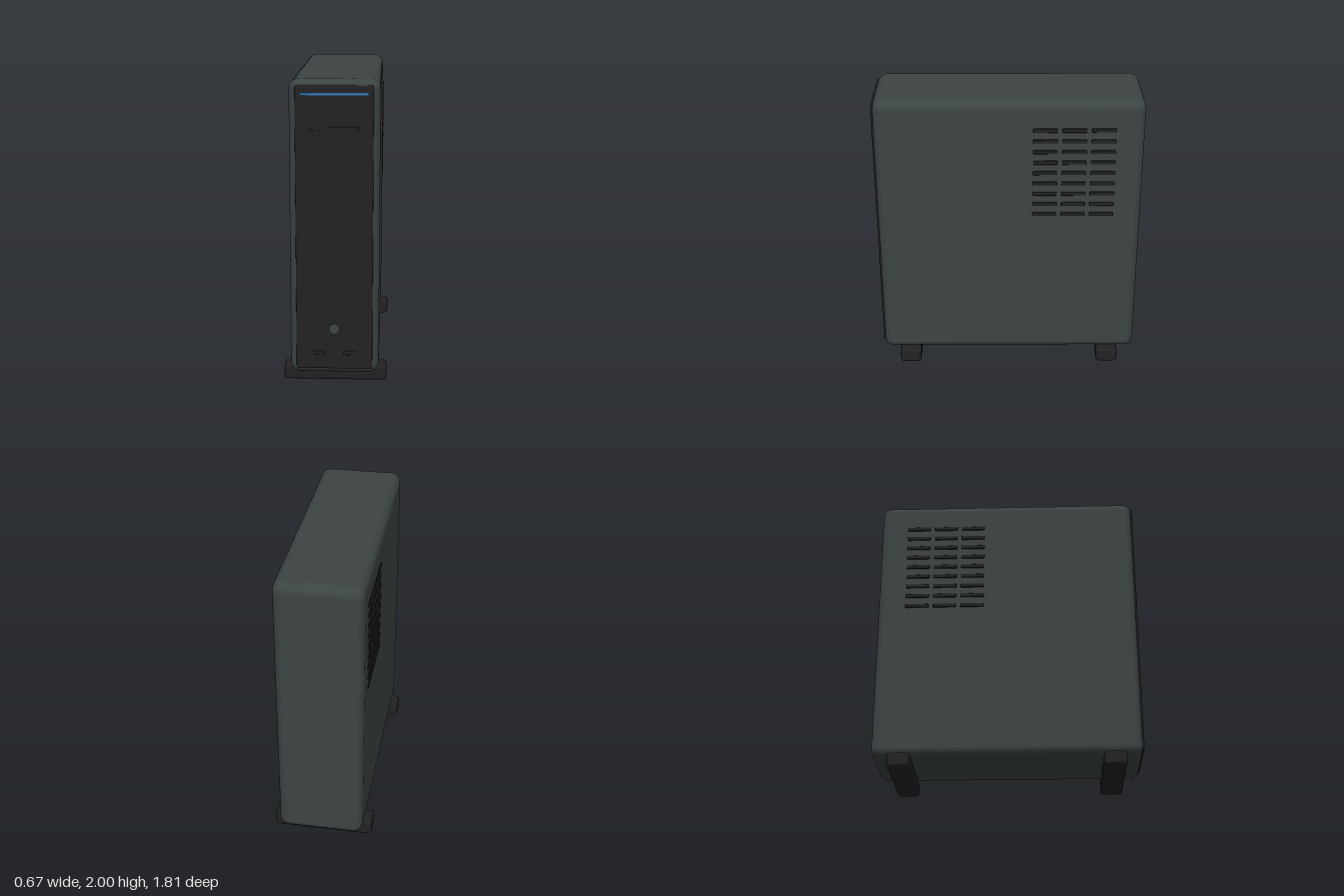
import * as THREE from 'three';
import { RoundedBoxGeometry } from 'three/addons/geometries/RoundedBoxGeometry.js';

const material = (name, color) => {
  const m = new THREE.MeshStandardMaterial({ color });
  m.name = name;
  return m;
};

export function createModel() {
  const model = new THREE.Group();
  model.name = 'computerTower';

  const shell = material('dark slate shell', 0x3c4443);
  const black = material('black plastic', 0x222222);
  const blue = material('blue light', 0x2f72ab);

  const add = (parent, name, geometry, mat, x, y, z) => {
    const mesh = new THREE.Mesh(geometry, mat);
    mesh.name = name;
    mesh.position.set(x, y, z);
    parent.add(mesh);
    return mesh;
  };
  const rounded = (w, h, d, r, segments = 1) => new RoundedBoxGeometry(w, h, d, segments, r);

  // Rounded case
  add(model, 'case', rounded(0.572, 1.915, 1.79, 0.065, 5), shell, 0, 1.0425, -0.01);

  // Front panel with bevelled edges
  add(model, 'frontPanel', rounded(0.49, 1.838, 0.04, 0.012, 2), black, 0, 1.045, 0.875);

  // Details on the front panel
  add(model, 'lightStrip', new THREE.BoxGeometry(0.42, 0.015, 0.008), blue, 0, 1.911, 0.895);
  add(model, 'discSlot', rounded(0.306, 0.022, 0.012, 0.003), black, 0, 1.697, 0.894);
  const button = add(model, 'powerButton', new THREE.CylinderGeometry(0.035, 0.035, 0.02, 32), shell, 0, 0.4, 0.896);
  button.rotation.x = Math.PI / 2;
  for (const side of [-1, 1]) {
    add(model, 'frontPort', rounded(0.084, 0.024, 0.012, 0.003), black, side * 0.103, 0.237, 0.894);
  }

  // Grid of vent bars on both sides
  const ventShape = rounded(0.016, 0.028, 0.163, 0.005);
  for (const side of [-1, 1]) {
    const vents = new THREE.Group();
    vents.name = side > 0 ? 'leftVents' : 'rightVents';
    for (let row = 0; row < 9; row++) {
      for (let col = 0; col < 3; col++) {
        add(vents, 'ventBar', ventShape, black, side * 0.286, 1.799 - row * 0.0768, -0.249 - col * 0.192);
      }
    }
    model.add(vents);
  }

  // Crosswise feet
  for (const [name, z] of [['frontFoot', 0.698], ['backFoot', -0.714]]) {
    add(model, name, rounded(0.674, 0.1, 0.15, 0.02), black, 0, 0.05, z);
  }

  return model;
}
